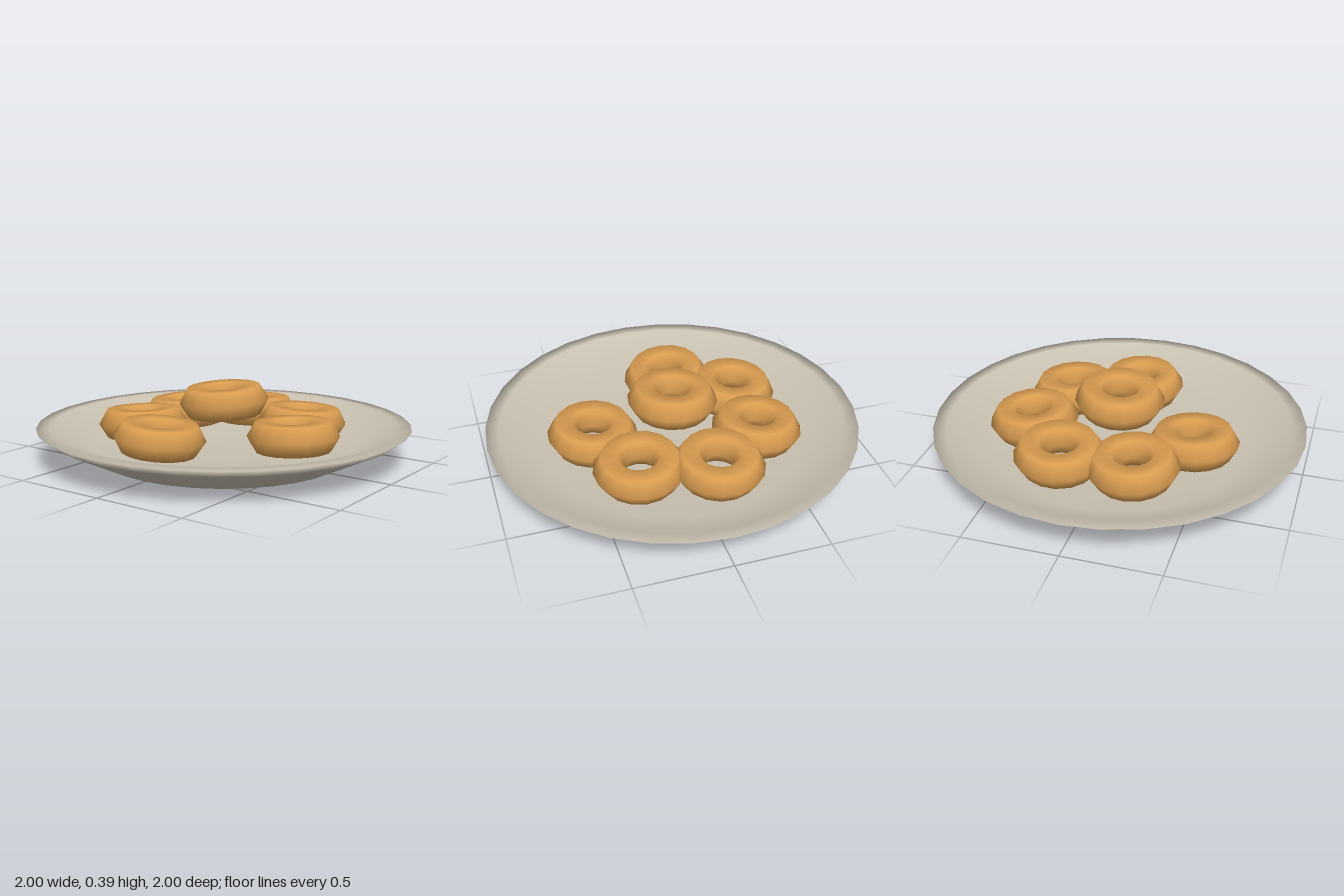
import * as THREE from 'three';

export function createModel() {
  const model = new THREE.Group();
  const ceramic = new THREE.MeshStandardMaterial({ color: 0xc9c1b1 });
  ceramic.name = 'stoneware';
  const dough = new THREE.MeshStandardMaterial({ color: 0xd89c50 });
  dough.name = 'fried dough';

  // Shallow plate: underside, flared wall, flat lip, sloping inside, floor
  const profile = [
    [0, 0], [0.66, 0], [0.945, 0.138], [1, 0.18],
    [0.93, 0.18], [0.69, 0.06], [0, 0.06],
  ].map(([r, y]) => new THREE.Vector2(r, y));
  const plate = new THREE.Mesh(new THREE.LatheGeometry(profile, 32), ceramic);
  plate.name = 'plate';
  model.add(plate);

  // Ring doughnuts with a six-sided tube, lying flat
  const ring = new THREE.TorusGeometry(0.153, 0.088, 6, 16);
  ring.rotateX(-Math.PI / 2);

  // x, y, z, rise towards +x, rise towards +z, turn
  const places = [
    [0, 0.302, 0, 0.045, -0.045, 0],
    [0.44, 0.165, 0, 0.04, 0.02, 0.1],
    [0.28, 0.165, -0.35, -0.03, 0.06, 0.3],
    [-0.11, 0.17, -0.45, 0.02, 0.07, 0.15],
    [-0.41, 0.168, -0.2, 0.07, -0.02, 0.2],
    [-0.41, 0.165, 0.19, 0.06, 0.03, 0.05],
    [-0.095, 0.163, 0.43, -0.08, 0.04, 0.25],
  ];
  places.forEach(([x, y, z, riseX, riseZ, turn], i) => {
    const doughnut = new THREE.Mesh(ring, dough);
    doughnut.name = i === 0 ? 'topDoughnut' : `doughnut${i}`;
    doughnut.position.set(x, y, z);
    doughnut.rotation.set(-riseZ, turn, riseX, 'XZY');
    model.add(doughnut);
  });

  return model;
}
